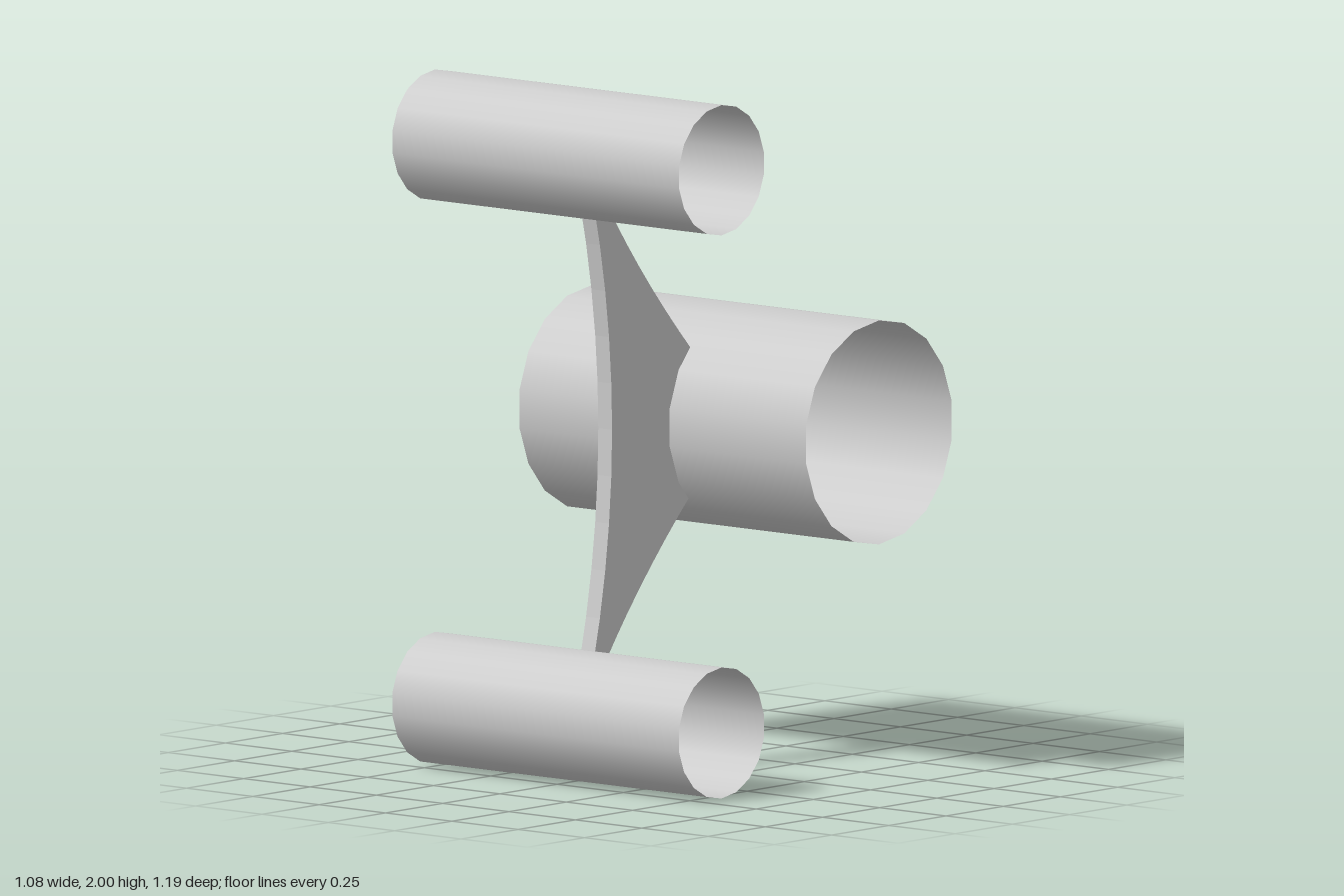
import * as THREE from 'three';

const HALF_Z = Math.PI / 2;

export function createModel() {
  const group = new THREE.Group();
  const tubeMaterial = new THREE.MeshStandardMaterial({ color: 0xcccccc, side: THREE.DoubleSide });
  const plateMaterial = new THREE.MeshStandardMaterial({ color: 0xcccccc });

  // Open, thin-walled tubes lying along x
  function addTube(name, radius, y, z) {
    const geometry = new THREE.CylinderGeometry(radius, radius, 1.08, 18, 1, true, HALF_Z);
    geometry.rotateZ(HALF_Z);
    const tube = new THREE.Mesh(geometry, tubeMaterial);
    tube.name = name;
    tube.position.set(0, y, z);
    group.add(tube);
  }
  addTube('upperTube', 0.188, 1.812, 0.408);
  addTube('lowerTube', 0.189, 0.189, 0.408);
  addTube('rearTube', 0.323, 0.98, -0.28);

  // Curved three-pointed plate joining the tube centres, drawn as (z, y)
  const profile = new THREE.Shape();
  profile.moveTo(0.41, 0.195);
  profile.quadraticCurveTo(0.17, 1.0, 0.41, 1.81);
  profile.quadraticCurveTo(0.165, 1.385, -0.275, 0.983);
  profile.quadraticCurveTo(0.165, 0.6, 0.41, 0.195);
  const thickness = 0.052;
  const plateGeometry = new THREE.ExtrudeGeometry(profile, {
    depth: thickness, bevelEnabled: false, curveSegments: 12,
  });
  plateGeometry.translate(0, 0, -thickness / 2);
  plateGeometry.rotateY(-HALF_Z);
  const plate = new THREE.Mesh(plateGeometry, plateMaterial);
  plate.name = 'connectingPlate';
  group.add(plate);

  return group;
}
